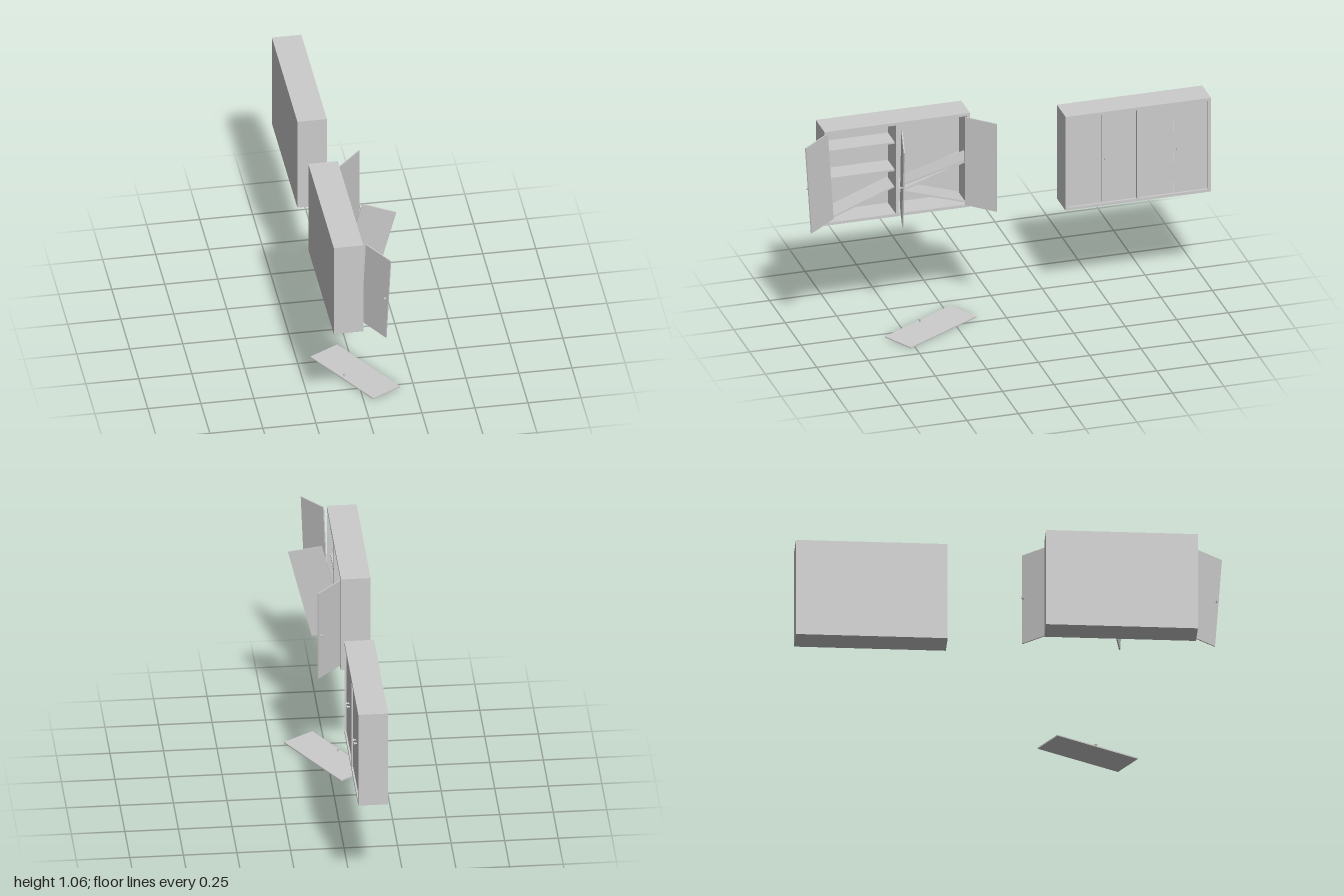
import * as THREE from 'three';

const mat = new THREE.MeshStandardMaterial({ color: 0xcccccc, flatShading: true });
const D = 0.139, H = 0.483, L = 0.707, T = 0.014;          // cabinet depth, height, length, board
const DOOR = { w: 0.164, h: 0.452, t: 0.006 };
const SHELF = { d: 0.11, t: 0.008, l: 0.326 };
const V = (a) => new THREE.Vector3(...a);

function mesh(name, geo, x = 0, y = 0, z = 0) {
  const m = new THREE.Mesh(geo, mat);
  m.name = name;
  m.position.set(x, y, z);
  return m;
}
const box = (name, w, h, d, x, y, z) => mesh(name, new THREE.BoxGeometry(w, h, d), x, y, z);

// Open-fronted case facing +x, centred on its own origin
function makeCase(name, x, y, z) {
  const g = new THREE.Group();
  g.name = name;
  g.position.set(x, y, z);
  g.add(box('backPanel', T, H, L, -D / 2 + T / 2, 0, 0));
  for (const s of [1, -1]) {
    g.add(box(s > 0 ? 'topBoard' : 'bottomBoard', D, T, L, 0, s * (H - T) / 2, 0));
    g.add(box('endBoard', D, H - 2 * T, T, 0, 0, s * (L - T) / 2));
  }
  g.add(box('divider', D, H - 2 * T, T, 0, 0, 0));
  return g;
}

// Door with a knob near its free edge; u points to that edge, u x v to the outer face
function makeDoor(name, centre, uDir, vDir) {
  const g = new THREE.Group();
  g.name = name;
  g.add(box('doorPanel', DOOR.w, DOOR.h, DOOR.t, 0, 0, 0));
  const stem = mesh('knobStem', new THREE.CylinderGeometry(0.003, 0.004, 0.012, 10), 0.067, 0, 0.008);
  const cap = mesh('knobCap', new THREE.CylinderGeometry(0.007, 0.006, 0.005, 10), 0.067, 0, 0.0155);
  stem.rotation.x = cap.rotation.x = Math.PI / 2;
  g.add(stem, cap);
  const u = V(uDir).normalize();
  const n = u.clone().cross(V(vDir)).normalize();
  const v = n.clone().cross(u);
  g.quaternion.setFromRotationMatrix(new THREE.Matrix4().makeBasis(u, v, n));
  g.position.set(...centre);
  return g;
}

// Shelf spanning two (z, y) end points, optionally swung out of the case
function makeShelf(x, [z0, y0], [z1, y1], yaw = 0) {
  const len = Math.hypot(z1 - z0, y1 - y0);
  const m = box('shelf', SHELF.d, SHELF.t, len, x, (y0 + y1) / 2, (z0 + z1) / 2);
  m.rotation.set(Math.atan2(y0 - y1, z1 - z0), yaw, 0, 'YXZ');
  return m;
}

export function createModel() {
  const root = new THREE.Group();
  root.name = 'wallCabinets';

  // Intact cabinet with two pairs of closed doors
  const closed = makeCase('closedCabinet', -0.09, 0.743, -0.6465);
  for (const bay of [-1, 1]) {
    const zc = bay * L / 4;
    for (const s of [-1, 1]) {
      closed.add(makeDoor('closedDoor', [D / 2 - 0.011, 0, zc + s * 0.0835 - bay * 0.0015], [0, 0, -s], [0, s, 0]));
    }
    for (const y of [-0.08, 0.08]) {
      closed.add(box('shelf', SHELF.d, SHELF.t, SHELF.l, -0.002, y, zc));
    }
  }
  root.add(closed);

  // Broken cabinet
  root.add(makeCase('brokenCabinet', -0.1165, 0.8165, 0.5175));
  const shelves = [
    // bay with two level shelves and one fallen
    [-0.118, [0.525, 0.947], [0.857, 0.947]],
    [-0.118, [0.525, 0.806], [0.857, 0.806]],
    [-0.118, [0.527, 0.722], [0.853, 0.596]],
    // bay with three collapsed shelves
    [-0.118, [0.185, 0.596], [0.508, 0.7]],
    [-0.118, [0.185, 0.802], [0.508, 0.69]],
    [-0.086, [0.187, 0.842], [0.47, 0.72], -0.3],
  ];
  for (const s of shelves) root.add(makeShelf(...s));

  // Doors of the broken cabinet: two swung open, one hanging loose, one on the floor
  root.add(
    makeDoor('swungDoor', [0.012, 0.815, 0.128], [0.69, 0, -0.72], [0, -1, 0]),
    makeDoor('saggingDoor', [0.007, 0.824, 0.913], [0.56, -0.08, 0.82], [0.017, 0.448, 0.035]),
    makeDoor('looseDoor', [0.032, 0.805, 0.517], [0.16, -0.042, 0.037], [0.103, 0.435, 0.025]),
    makeDoor('fallenDoor', [0, 0.0055, 0.37], [-0.86, 0.025, 0.51], [0.51, 0, 0.86]),
  );
  return root;
}
